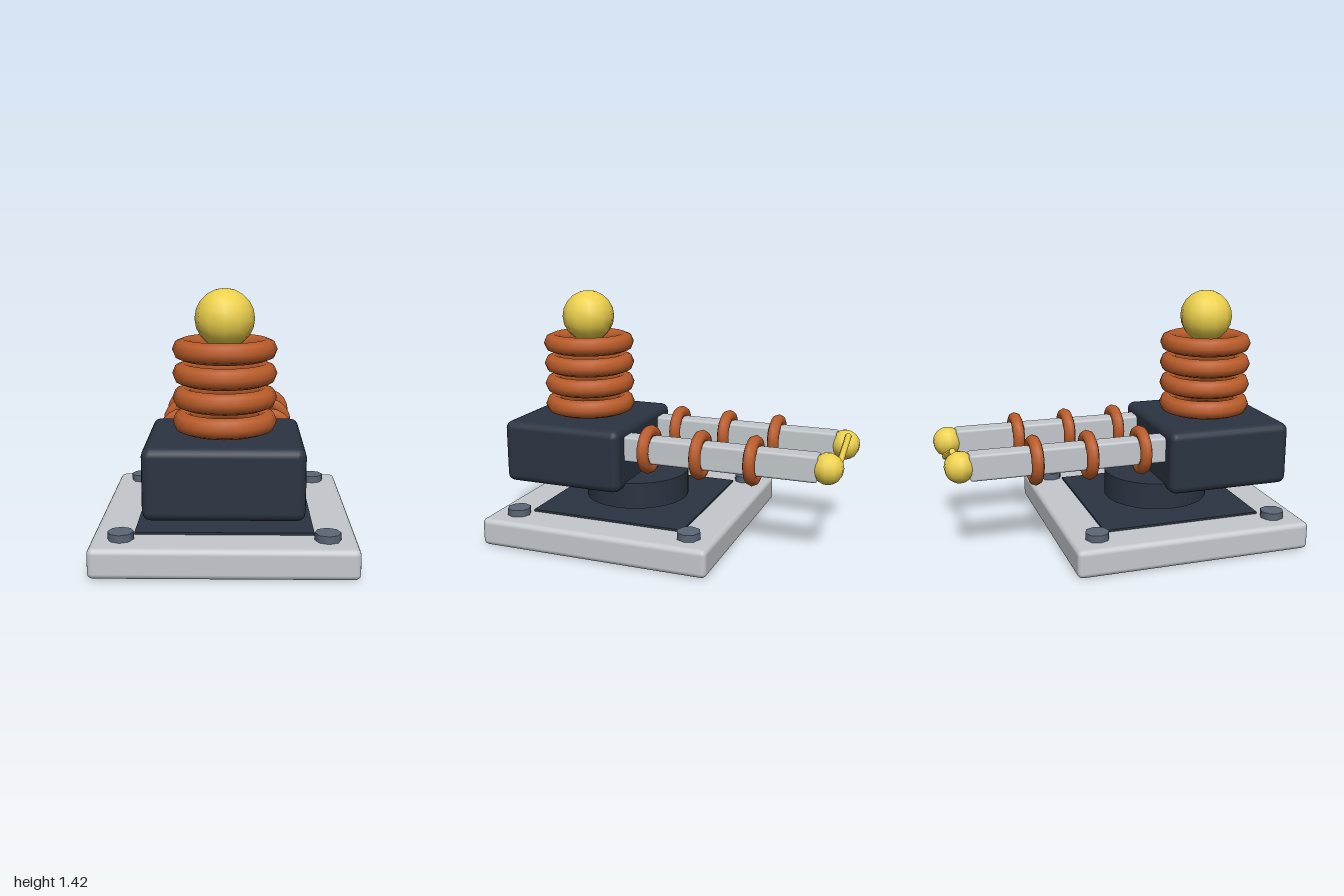
import * as THREE from 'three';
import { RoundedBoxGeometry } from 'three/addons/geometries/RoundedBoxGeometry.js';

const paint = (color) => new THREE.MeshStandardMaterial({ color });

export function createModel() {
  const model = new THREE.Group();
  model.name = 'coilTurret';

  const steel = paint(0xc4c9cd);
  const dark = paint(0x2b3442);
  const copper = paint(0xba5c2a);
  const gold = paint(0xecd04c);
  const boltGrey = paint(0x5c6777);

  const add = (name, geometry, material, x, y, z) => {
    const mesh = new THREE.Mesh(geometry, material);
    mesh.name = name;
    mesh.position.set(x, y, z);
    model.add(mesh);
    return mesh;
  };

  // Base slab with its inset plate
  const baseZ = 0.315;
  add('base', new RoundedBoxGeometry(1.37, 0.16, 1.37, 2, 0.03), steel, 0, 0.08, baseZ);
  add('basePlate', new THREE.BoxGeometry(0.935, 0.03, 0.935), dark, 0, 0.157, 0.31);

  // Corner bolts
  const boltGeometry = new THREE.CylinderGeometry(0.068, 0.068, 0.06, 8);
  for (const x of [-0.53, 0.53]) {
    for (const z of [-0.22, 0.84]) add('bolt', boltGeometry, boltGrey, x, 0.17, z);
  }

  // Swivel disc and housing
  add('swivel', new THREE.CylinderGeometry(0.312, 0.312, 0.155, 32), dark, 0, 0.268, 0.312);
  add('housing', new RoundedBoxGeometry(0.81, 0.37, 0.74, 2, 0.045), dark, 0, 0.488, 0.63);

  // Upright coil stack with a ball on top
  const coilZ = 0.625;
  const coilGeometry = new THREE.TorusGeometry(0.217, 0.055, 8, 24).rotateX(Math.PI / 2);
  for (let i = 0; i < 4; i++) add('coil', coilGeometry, copper, 0, 0.737 + i * 0.125, coilZ);
  add('topBall', new THREE.SphereGeometry(0.155, 12, 10), gold, 0, 1.268, coilZ);

  // Twin rails, each with three rings and a tip ball
  const railGeometry = new RoundedBoxGeometry(0.118, 0.15, 1.2, 1, 0.015);
  const ringGeometry = new THREE.TorusGeometry(0.107, 0.036, 8, 20);
  const tipGeometry = new THREE.SphereGeometry(0.088, 10, 8);
  for (const x of [-0.25, 0.25]) {
    add('rail', railGeometry, steel, x, 0.55, -0.265);
    for (let i = 0; i < 3; i++) add('railRing', ringGeometry, copper, x, 0.55, 0.125 - i * 0.313);
    add('tipBall', tipGeometry, gold, x, 0.55, -0.912);
  }

  // Slanted spark bar between the tips
  const bar = add('sparkBar', new THREE.CylinderGeometry(0.019, 0.019, 0.4, 6), gold, 0, 0.55, -0.94);
  bar.rotation.z = Math.PI / 2 - 0.37;

  return model;
}
